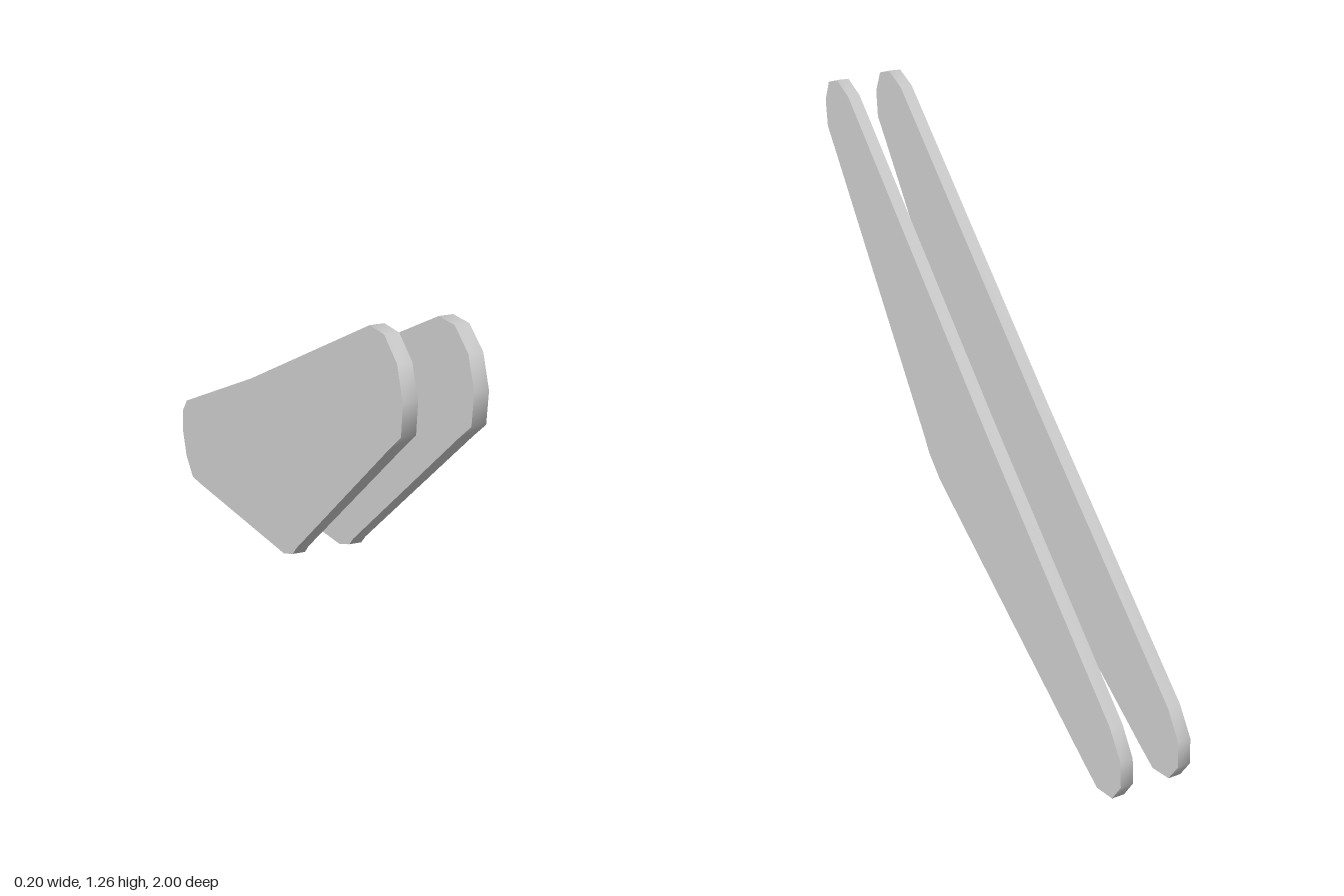
import * as THREE from 'three';
import { toCreasedNormals } from 'three/addons/utils/BufferGeometryUtils.js';

// Side outline of a plate as [z, y]
const OUTLINE = [
  [0.88, 1.265], [0.79, 1.25], [-0.155, 0.695], [-0.93, 0.265],
  [-0.99, 0.2], [-1, 0.12], [-0.96, 0.04], [-0.88, 0], [-0.8, 0.02],
  [0.15, 0.29], [0.23, 0.335], [0.26, 0.37], [0.93, 1.01],
  [0.995, 1.07], [1, 1.155], [0.96, 1.23],
];
const INNER = 0.065, THICKNESS = 0.035;

export function createModel() {
  const group = new THREE.Group();
  group.name = 'pairedLinkPlates';
  const material = new THREE.MeshStandardMaterial({ color: 0xcccccc });

  // Extrude the outline, then turn it so its thickness runs along x
  const shape = new THREE.Shape(OUTLINE.map(([z, y]) => new THREE.Vector2(-z, y)));
  const extruded = new THREE.ExtrudeGeometry(shape, { depth: THICKNESS, bevelEnabled: false });
  extruded.rotateY(Math.PI / 2);
  // Smooth rim, sharp edges against the flat faces
  const geometry = toCreasedNormals(extruded, 1);

  // Two matching plates with a gap between them
  for (const [name, x] of [['leftPlate', INNER], ['rightPlate', -INNER - THICKNESS]]) {
    const plate = new THREE.Mesh(geometry, material);
    plate.name = name;
    plate.position.x = x;
    group.add(plate);
  }
  return group;
}
